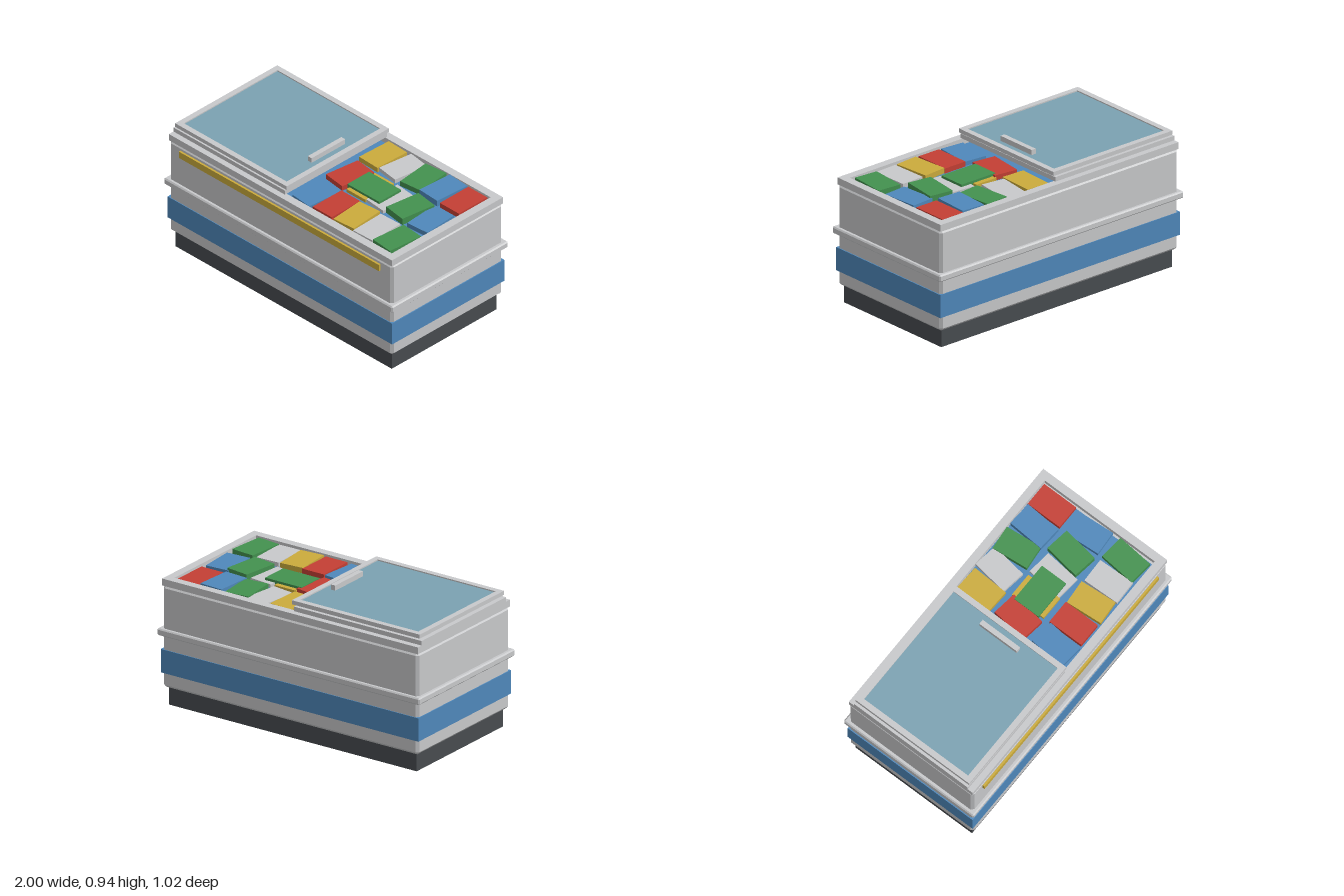
import * as THREE from 'three';
import { ConvexGeometry } from 'three/addons/geometries/ConvexGeometry.js';

const paint = (name, color) => {
  const m = new THREE.MeshStandardMaterial({ color });
  m.name = name;
  return m;
};

export function createModel() {
  const grey = paint('light grey', 0xc8c9cb);
  const dark = paint('dark grey', 0x484c50);
  const blue = paint('blue', 0x4f88bb);
  const yellow = paint('yellow', 0xcbab3c);
  const red = paint('red', 0xc43f34);
  const green = paint('green', 0x43914f);
  const glass = paint('glass blue', 0x7ba2b2);

  const model = new THREE.Group();
  model.name = 'chestFreezer';

  const add = (name, geometry, material, parent = model) => {
    const mesh = new THREE.Mesh(geometry, material);
    mesh.name = name;
    parent.add(mesh);
    return mesh;
  };

  // Box given by its limits on each axis
  const box = (name, [x0, x1], [y0, y1], [z0, z1], material, parent) => {
    const mesh = add(name, new THREE.BoxGeometry(x1 - x0, y1 - y0, z1 - z0), material, parent);
    mesh.position.set((x0 + x1) / 2, (y0 + y1) / 2, (z0 + z1) / 2);
    return mesh;
  };

  // Box with every edge cut at an angle
  const chamferedBox = (name, hx, [y0, y1], hz, c, material) => {
    const hy = (y1 - y0) / 2;
    const points = [];
    for (const sx of [-1, 1]) for (const sy of [-1, 1]) for (const sz of [-1, 1]) {
      points.push(
        new THREE.Vector3(sx * hx, sy * (hy - c), sz * (hz - c)),
        new THREE.Vector3(sx * (hx - c), sy * hy, sz * (hz - c)),
        new THREE.Vector3(sx * (hx - c), sy * (hy - c), sz * hz));
    }
    add(name, new ConvexGeometry(points), material).position.y = (y0 + y1) / 2;
  };

  // Flat rectangular frame with an opening
  const frame = (name, [x0, x1], [y0, y1], hz, bar, material, parent) => {
    const rect = (path, i) => path.moveTo(x0 + i, -hz + i).lineTo(x1 - i, -hz + i)
      .lineTo(x1 - i, hz - i).lineTo(x0 + i, hz - i).closePath();
    const shape = rect(new THREE.Shape(), 0);
    shape.holes.push(rect(new THREE.Path(), bar));
    const geometry = new THREE.ExtrudeGeometry(shape, { depth: y1 - y0, bevelEnabled: false });
    geometry.rotateX(-Math.PI / 2);
    add(name, geometry, material, parent).position.y = y0;
  };

  // Cabinet
  box('plinth', [-0.945, 0.945], [0, 0.125], [-0.458, 0.458], dark);
  chamferedBox('body', 0.975, [0.12, 0.8], 0.487, 0.018, grey);
  box('blueBand', [-0.982, 0.982], [0.217, 0.373], [-0.492, 0.492], blue);
  chamferedBox('bumperRail', 1, [0.467, 0.513], 0.51, 0.008, grey);
  box('frontStrip', [-0.875, 0.875], [0.72, 0.767], [0.48, 0.501], yellow);
  frame('topRim', [-0.975, 0.975], [0.797, 0.843], 0.487, 0.055, grey);
  box('innerFloor', [-0.905, 0.905], [0.796, 0.804], [-0.43, 0.43], blue);

  // Two stacked sliding lids, both pushed to the same end
  const lid = (name, x0, x1, y0, y1, handleX, handleTop) => {
    const group = new THREE.Group();
    group.name = name;
    model.add(group);
    frame('lidFrame', [x0, x1], [y0, y1], 0.447, 0.038, grey, group);
    box('lidGlass', [x0 + 0.036, x1 - 0.036], [y0 + 0.008, y1 - 0.008], [-0.411, 0.411], glass, group);
    box('lidHandle', [handleX - 0.017, handleX + 0.017], [y1 - 0.01, handleTop], [-0.147, 0.147], grey, group);
  };
  lid('lowerLid', -0.975, 0, 0.843, 0.873, -0.1, 0.888);
  lid('upperLid', -0.96, 0.015, 0.885, 0.912, -0.083, 0.938);

  // Frozen packs: colour, turn and top height, row by row from the back
  const rows = [
    [-0.297, [[yellow, -0.04, 0.838], [grey, -0.14, 0.832], [green, 0.1, 0.84], [blue, -0.06, 0.846], [red, 0, 0.838]]],
    [-0.008, [[red, -0.13, 0.838], [yellow, 0, 0.826], [grey, -0.1, 0.826], [green, -0.14, 0.85], [blue, 0.07, 0.836]]],
    [0.287, [[blue, -0.1, 0.832], [red, 0, 0.838], [yellow, 0.08, 0.84], [grey, 0.03, 0.834], [green, -0.09, 0.84]]],
  ];
  const packs = new THREE.Group();
  packs.name = 'packs';
  model.add(packs);
  rows.forEach(([z, row]) => row.forEach(([material, turn, top], i) => {
    const x = 0.115 + i * 0.176;
    const pack = box('pack', [x - 0.083, x + 0.083], [0.802, top], [z - 0.125, z + 0.125], material, packs);
    pack.rotation.y = turn;
  }));
  box('loosePack', [0.19, 0.468], [0.81, 0.842], [-0.1, 0.09], green, packs);

  return model;
}
